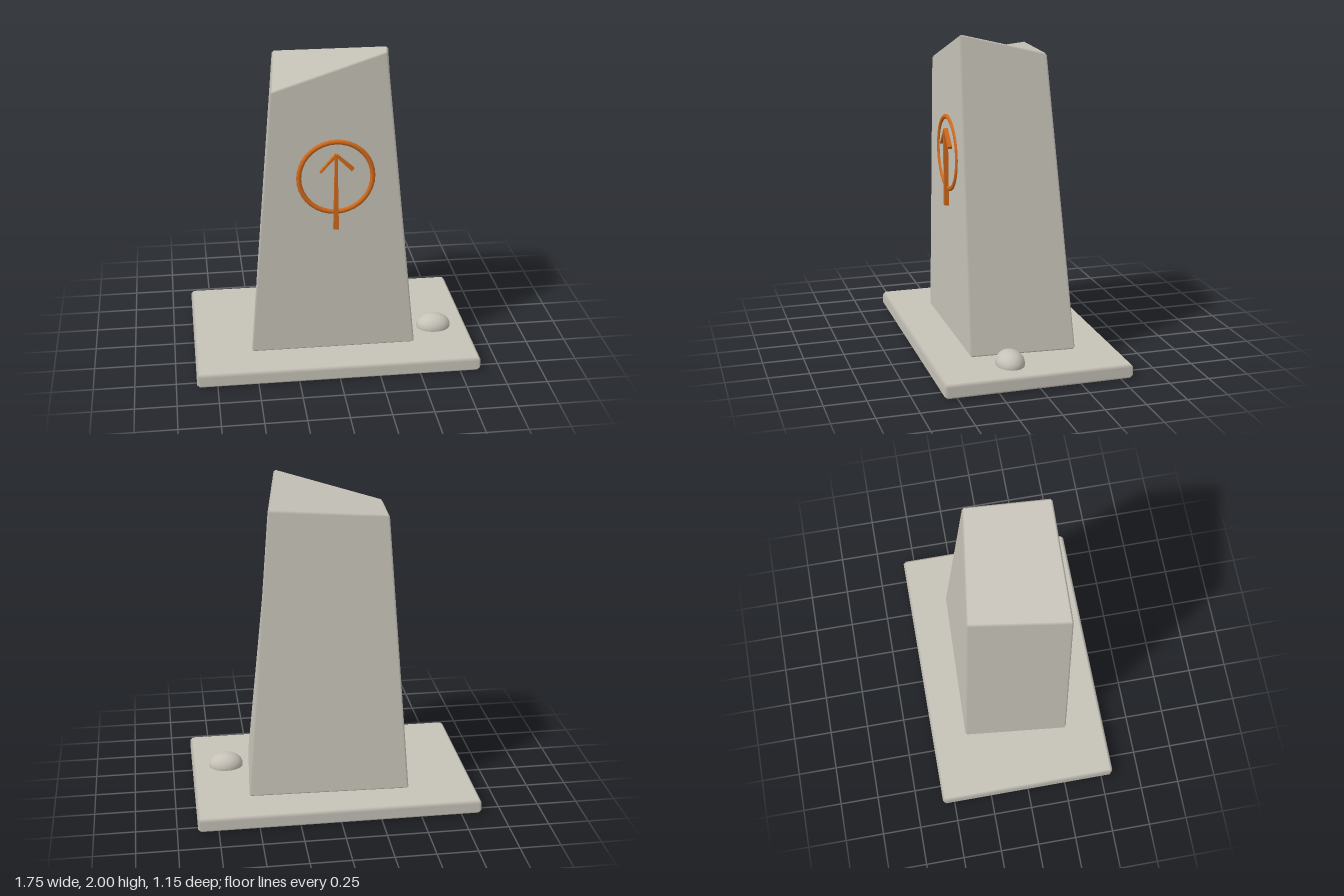
import * as THREE from 'three';

const stone = new THREE.MeshStandardMaterial({ color: 0xc6c2b8 });
stone.name = 'pale stone';
const rust = new THREE.MeshStandardMaterial({ color: 0xd06a1c });
rust.name = 'rust orange';

// Corners 0-3 are the bottom and 4-7 the top, each front left, front right, back right, back left.
// Each face is split along its first and third corner.
const FACES = [[0, 1, 5, 4], [2, 6, 5, 1], [2, 3, 7, 6], [3, 0, 4, 7], [4, 5, 6, 7], [3, 2, 1, 0]];

// Six-sided block with softened edges: inset faces joined by edge strips and corner triangles
function bevelledBlock(points, bevel) {
  const corners = points.map((p) => new THREE.Vector3(...p));
  const positions = [], normals = [], index = [];
  const faceOfEdge = {};
  const vertex = (face, corner) => face * 4 + FACES[face].indexOf(corner);

  FACES.forEach((face, f) => {
    const [a, b, c, d] = face.map((i) => corners[i]);
    const normal = c.clone().sub(a).cross(d.clone().sub(b)).normalize();
    face.forEach((corner, k) => {
      const p = corners[corner].clone();
      for (const step of [1, 3]) {
        const toward = corners[face[(k + step) % 4]].clone().sub(corners[corner]).normalize();
        p.addScaledVector(toward, bevel);
      }
      positions.push(p.x, p.y, p.z);
      normals.push(normal.x, normal.y, normal.z);
      faceOfEdge[corner + '>' + face[(k + 1) % 4]] = f;
    });
    const s = f * 4;
    index.push(s, s + 1, s + 2, s, s + 2, s + 3);
  });

  // Edge strips
  for (const edge in faceOfEdge) {
    const [a, b] = edge.split('>').map(Number);
    if (a > b) continue;
    const f = faceOfEdge[edge], g = faceOfEdge[b + '>' + a];
    const fa = vertex(f, a), fb = vertex(f, b), ga = vertex(g, a), gb = vertex(g, b);
    index.push(fb, fa, ga, fb, ga, gb);
  }

  // Corner triangles
  for (let c = 0; c < 8; c++) {
    let f = FACES.findIndex((face) => face.includes(c));
    for (let n = 0; n < 3; n++) {
      index.push(vertex(f, c));
      const previous = FACES[f][(FACES[f].indexOf(c) + 3) % 4];
      f = faceOfEdge[c + '>' + previous];
    }
  }

  const geometry = new THREE.BufferGeometry();
  geometry.setAttribute('position', new THREE.Float32BufferAttribute(positions, 3));
  geometry.setAttribute('normal', new THREE.Float32BufferAttribute(normals, 3));
  geometry.setIndex(index);
  return geometry;
}

function addMesh(parent, name, geometry, material) {
  const mesh = new THREE.Mesh(geometry, material);
  mesh.name = name;
  parent.add(mesh);
  return mesh;
}

// Straight tapered bar in the emblem's plane
function bar(x1, y1, x2, y2, startWidth, endWidth, depth) {
  const length = Math.hypot(x2 - x1, y2 - y1);
  const nx = -(y2 - y1) / length / 2, ny = (x2 - x1) / length / 2;
  const shape = new THREE.Shape([
    new THREE.Vector2(x1 + nx * startWidth, y1 + ny * startWidth),
    new THREE.Vector2(x1 - nx * startWidth, y1 - ny * startWidth),
    new THREE.Vector2(x2 - nx * endWidth, y2 - ny * endWidth),
    new THREE.Vector2(x2 + nx * endWidth, y2 + ny * endWidth),
  ]);
  return new THREE.ExtrudeGeometry(shape, { depth, bevelEnabled: false });
}

export function createModel() {
  const model = new THREE.Group();
  model.name = 'standingStone';

  // Base plate
  const plan = [[-0.875, 0.575], [0.875, 0.575], [0.875, -0.575], [-0.875, -0.575]];
  const plate = [0, 0.09].flatMap((y) => plan.map(([x, z]) => [x, y, z]));
  addMesh(model, 'basePlate', bevelledBlock(plate, 0.018), stone);

  // Leaning pillar with a slanted, slightly twisted top
  addMesh(model, 'pillar', bevelledBlock([
    [-0.525, 0.09, 0.323], [0.5, 0.09, 0.323], [0.545, 0.09, -0.325], [-0.455, 0.09, -0.352],
    [-0.382, 1.78, 0.323], [0.298, 2.003, 0.323], [0.387, 1.882, -0.18], [-0.32, 1.857, -0.275],
  ], 0.012), stone);

  // Pebble on the plate
  const pebble = addMesh(model, 'pebble', new THREE.SphereGeometry(1, 32, 20), stone);
  pebble.scale.set(0.109, 0.077, 0.086);
  pebble.position.set(0.66, 0.1, 0.125);

  // Ring and arrow on the front face
  const emblem = new THREE.Group();
  emblem.name = 'emblem';
  emblem.position.set(0, 1.24, 0.32);
  model.add(emblem);
  addMesh(emblem, 'ring', new THREE.TorusGeometry(0.222, 0.016, 12, 36), rust);
  addMesh(emblem, 'arrowShaft', bar(0, -0.33, 0, 0.145, 0.032, 0.014, 0.03), rust);
  addMesh(emblem, 'arrowBarbLeft', bar(0, 0.145, 0.1, 0.05, 0.014, 0.024, 0.028), rust);
  addMesh(emblem, 'arrowBarbRight', bar(0, 0.145, -0.095, 0.04, 0.016, 0.01, 0.028), rust);

  return model;
}
